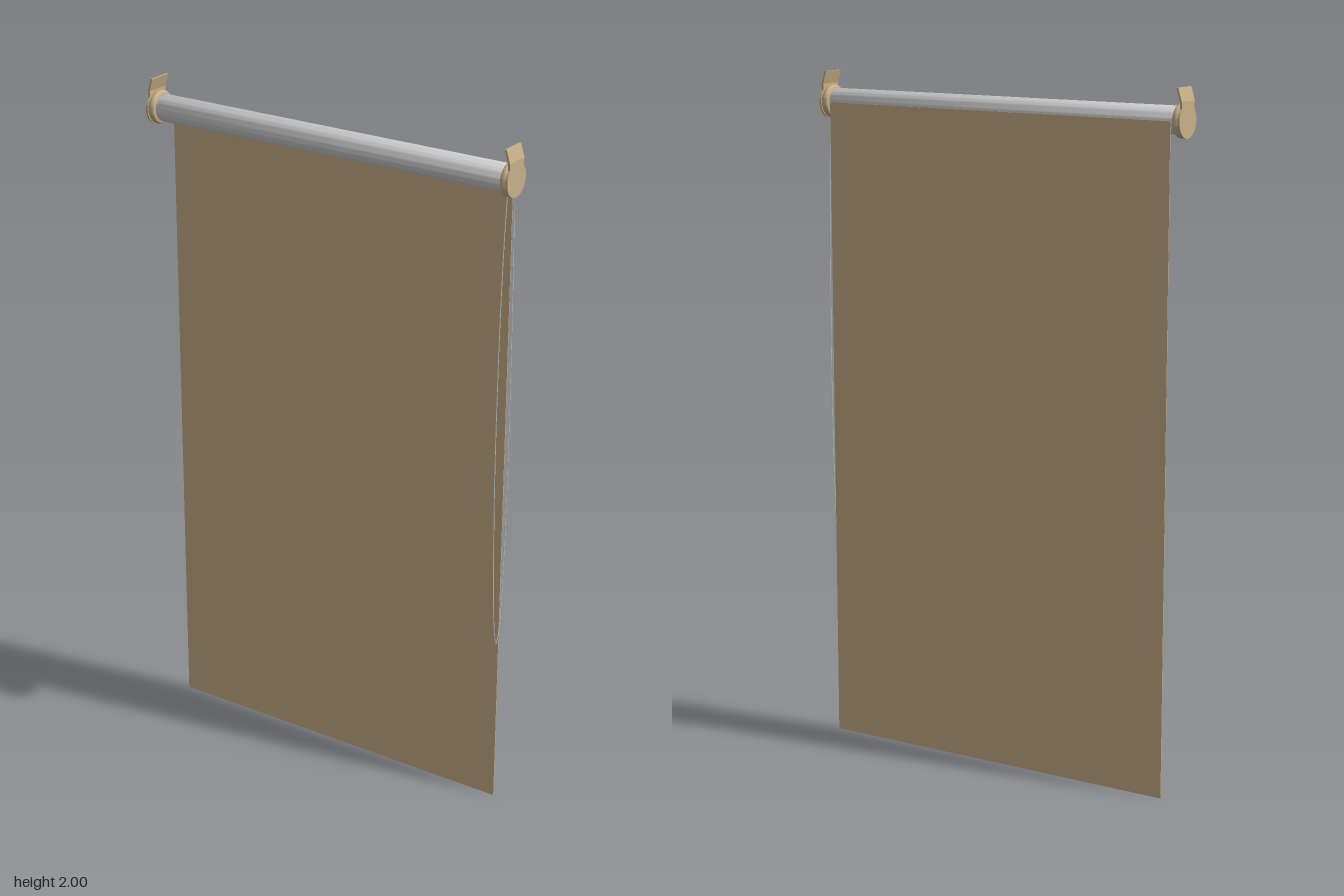
import * as THREE from 'three';
import { toCreasedNormals } from 'three/addons/utils/BufferGeometryUtils.js';

const AXIS_Y = 1.911; // height of the roller axis
const grey = new THREE.MeshStandardMaterial({ color: 0xcccccc });
const tan = new THREE.MeshStandardMaterial({ color: 0xc8b088, side: THREE.DoubleSide });

function addMesh(parent, name, geometry, material) {
  const mesh = new THREE.Mesh(geometry, material);
  mesh.name = name;
  parent.add(mesh);
  return mesh;
}

// Solid of revolution along x, from [radius, x] pairs
function latheX(points, segments) {
  const geo = new THREE.LatheGeometry(points.map(([r, x]) => new THREE.Vector2(r, x)), segments);
  geo.rotateZ(-Math.PI / 2);
  return toCreasedNormals(geo, 0.6);
}

// End bracket for the +x side; side = -1 turns it round for the other end
function createBracket(side) {
  const bracket = new THREE.Group();
  bracket.name = side > 0 ? 'leftBracket' : 'rightBracket';

  // Rounded hub that holds the roller
  const hub = addMesh(bracket, 'hub', latheX([
    [0, 0.566], [0.04, 0.566], [0.045, 0.568], [0.048, 0.573],
    [0.048, 0.581], [0.045, 0.586], [0.04, 0.588], [0, 0.588],
  ], 40), tan);
  hub.position.y = AXIS_Y;

  // Flat keyhole-shaped outer plate: round below, straight neck above
  const shape = new THREE.Shape();
  const a = Math.acos(0.035 / 0.048);
  const neckY = 1.963;
  shape.moveTo(0.037, neckY);
  shape.lineTo(-0.037, neckY);
  shape.lineTo(-0.035, AXIS_Y + 0.048 * Math.sin(a));
  shape.absarc(0, AXIS_Y, 0.048, Math.PI - a, 2 * Math.PI + a, false);
  shape.closePath();
  const plate = new THREE.ExtrudeGeometry(shape, { depth: 0.006, bevelEnabled: false, curveSegments: 32 });
  plate.rotateY(Math.PI / 2).translate(0.586, 0, 0);
  addMesh(bracket, 'outerPlate', toCreasedNormals(plate, 0.6), tan);

  // Mounting tab leaning inward towards its top
  const h = 2 - neckY;
  const tab = new THREE.BoxGeometry(0.006, h, 0.074);
  tab.translate(0.589, neckY + h / 2, 0);
  const pos = tab.attributes.position;
  for (let i = 0; i < pos.count; i++) {
    if (pos.getY(i) > neckY + h / 2) pos.setX(i, pos.getX(i) - 0.011);
  }
  tab.computeVertexNormals();
  addMesh(bracket, 'mountingTab', tab, tan);

  if (side < 0) bracket.rotation.y = Math.PI;
  return bracket;
}

export function createModel() {
  const blind = new THREE.Group();
  blind.name = 'rollerBlind';

  // Roller with small chamfered ends
  const roller = addMesh(blind, 'roller', latheX([
    [0, -0.568], [0.035, -0.568], [0.039, -0.56],
    [0.039, 0.56], [0.035, 0.568], [0, 0.568],
  ], 48), grey);
  roller.position.y = AXIS_Y;

  // Fabric hanging off the back of the roller
  const fabric = addMesh(blind, 'fabric', new THREE.BoxGeometry(1.12, AXIS_Y, 0.002), tan);
  fabric.position.set(0, AXIS_Y / 2, -0.039);

  for (const side of [1, -1]) blind.add(createBracket(side));

  // Slim pull cord: one long loop over the left hub
  const cord = new THREE.CatmullRomCurve3([
    [1.925, 0], [1.9, 0.014], [1.84, 0.022], [1.6, 0.035], [1.2, 0.041], [0.9, 0.036], [0.65, 0.024], [0.56, 0.013],
    [0.53, 0.004],
    [0.56, -0.007], [0.65, -0.017], [0.9, -0.027], [1.2, -0.029], [1.6, -0.025], [1.84, -0.017], [1.9, -0.012],
  ].map(([y, z]) => new THREE.Vector3(0.577, y, z)), true);
  addMesh(blind, 'pullCord', new THREE.TubeGeometry(cord, 160, 0.0015, 6, true), grey);

  return blind;
}
